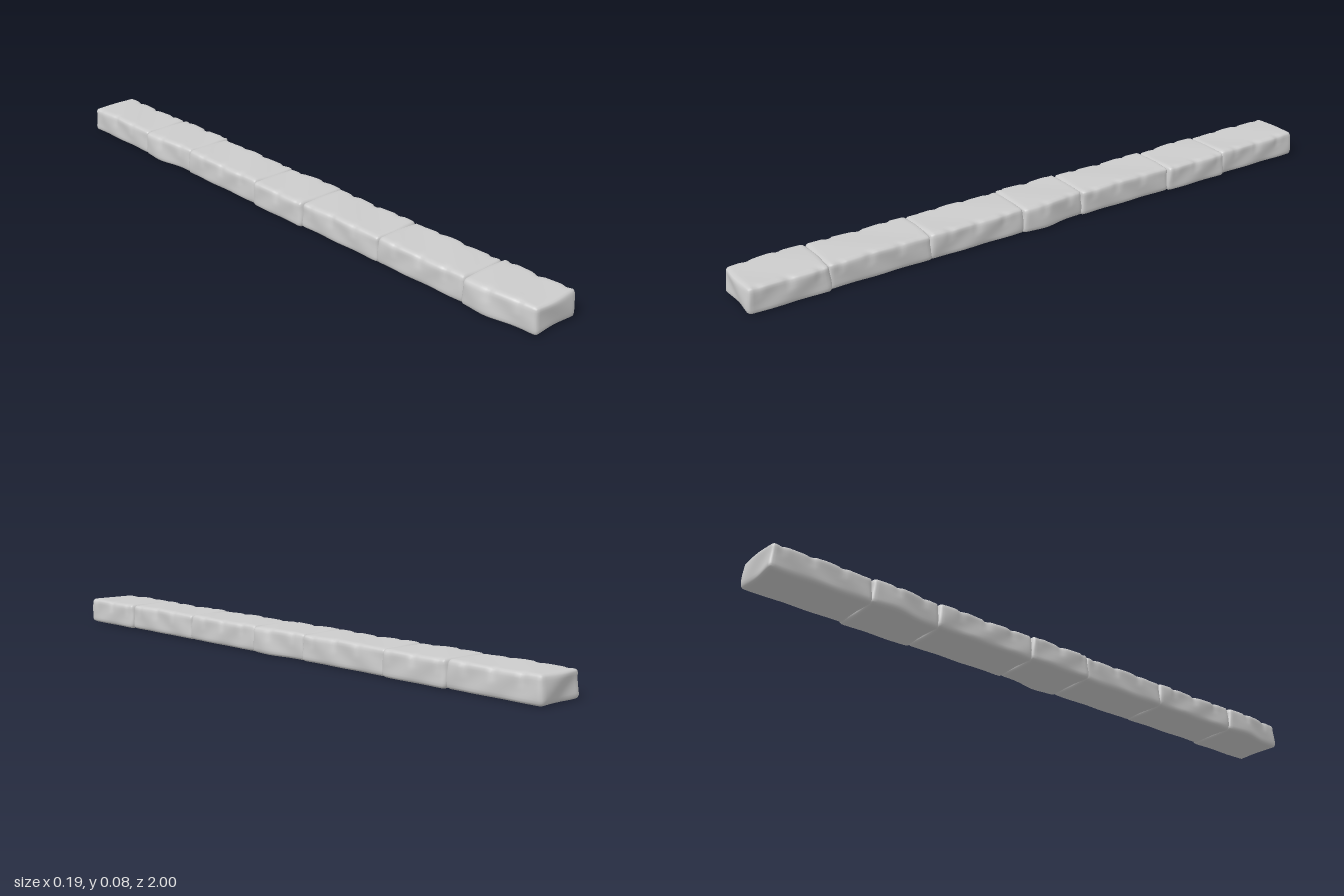
import * as THREE from 'three';
import { mergeVertices } from 'three/addons/utils/BufferGeometryUtils.js';

const HEIGHT = 0.083;
const RADIUS = 0.013;

// A worn block: rounded box, chipped along the upper long edges, gently uneven on the sides.
function stoneGeometry(width, length, bulge) {
  const half = new THREE.Vector3(width / 2, HEIGHT / 2, length / 2);
  let geo = new THREE.BoxGeometry(width, HEIGHT, length, 16, 10, Math.round(length / 0.009));
  geo.deleteAttribute('uv');
  geo.deleteAttribute('normal');
  geo = mergeVertices(geo, 1e-5);
  const core = half.clone().subScalar(RADIUS);
  const low = core.clone().negate();
  const pos = geo.attributes.position;
  const p = new THREE.Vector3(), c = new THREE.Vector3();
  for (let i = 0; i < pos.count; i++) {
    p.fromBufferAttribute(pos, i);
    c.copy(p).clamp(low, core);
    p.sub(c).setLength(RADIUS).add(c);
    const u = p.x / half.x, v = p.y / half.y, w = p.z / half.z;
    const inner = 1 - w ** 6;

    // Chips along the top edges
    const edge = Math.max(0, Math.abs(u) - 0.7) / 0.3 * Math.max(0, v);
    const chip = Math.max(0, Math.sin(p.z * 67 + u * 2) + 0.5 * Math.sin(p.z * 131 + u));
    p.x -= Math.sign(u) * edge * chip * 0.004 * inner;
    p.y -= edge * chip * 0.003 * inner;

    // Uneven long sides
    p.x += u * u * u * 0.0015 * Math.sin(p.z * 40 + v * 2.5 + u * 2);
    // Bulge on the left-hand flank of the short block, tapering to the front
    if (u < 0) {
      const swell = Math.exp(-(((w + 0.35) / 0.5) ** 2));
      p.x += u * u * bulge * (0.011 * (0.5 * w + 0.4) - 0.012 * swell * (0.8 - 0.2 * v));
    }
    // Slightly dished ends and softly waved top
    p.z += w ** 5 * 0.003 * Math.sin(u * 3 + v * 2);
    if (v > 0) p.y -= v * 0.0012 * (1 + Math.sin(p.z * 22 + u * 2));
    pos.setXYZ(i, p.x, p.y, p.z);
  }
  geo.computeVertexNormals();
  return geo;
}

export function createModel() {
  const group = new THREE.Group();
  group.name = 'stoneKerb';
  const material = new THREE.MeshStandardMaterial({ color: 0xcccccc });

  // [back z, front z, short block, turned half round]
  const stones = [
    [-1.0, -0.68, false, false],
    [-0.685, -0.45, true, false],
    [-0.455, -0.11, false, true],
    [-0.115, 0.11, true, true],
    [0.105, 0.43, false, false],
    [0.425, 0.755, false, true],
    [0.75, 0.997, true, false],
  ];
  stones.forEach(([back, front, short, turned], i) => {
    const geo = stoneGeometry(short ? 0.176 : 0.165, front - back, short ? 1 : 0);
    const stone = new THREE.Mesh(geo, material);
    stone.name = (short ? 'shortStone' : 'longStone') + (i + 1);
    stone.position.set(short ? (turned ? -0.002 : 0.003) : 0, HEIGHT / 2, (back + front) / 2);
    if (turned) stone.rotation.y = Math.PI;
    group.add(stone);
  });
  return group;
}
